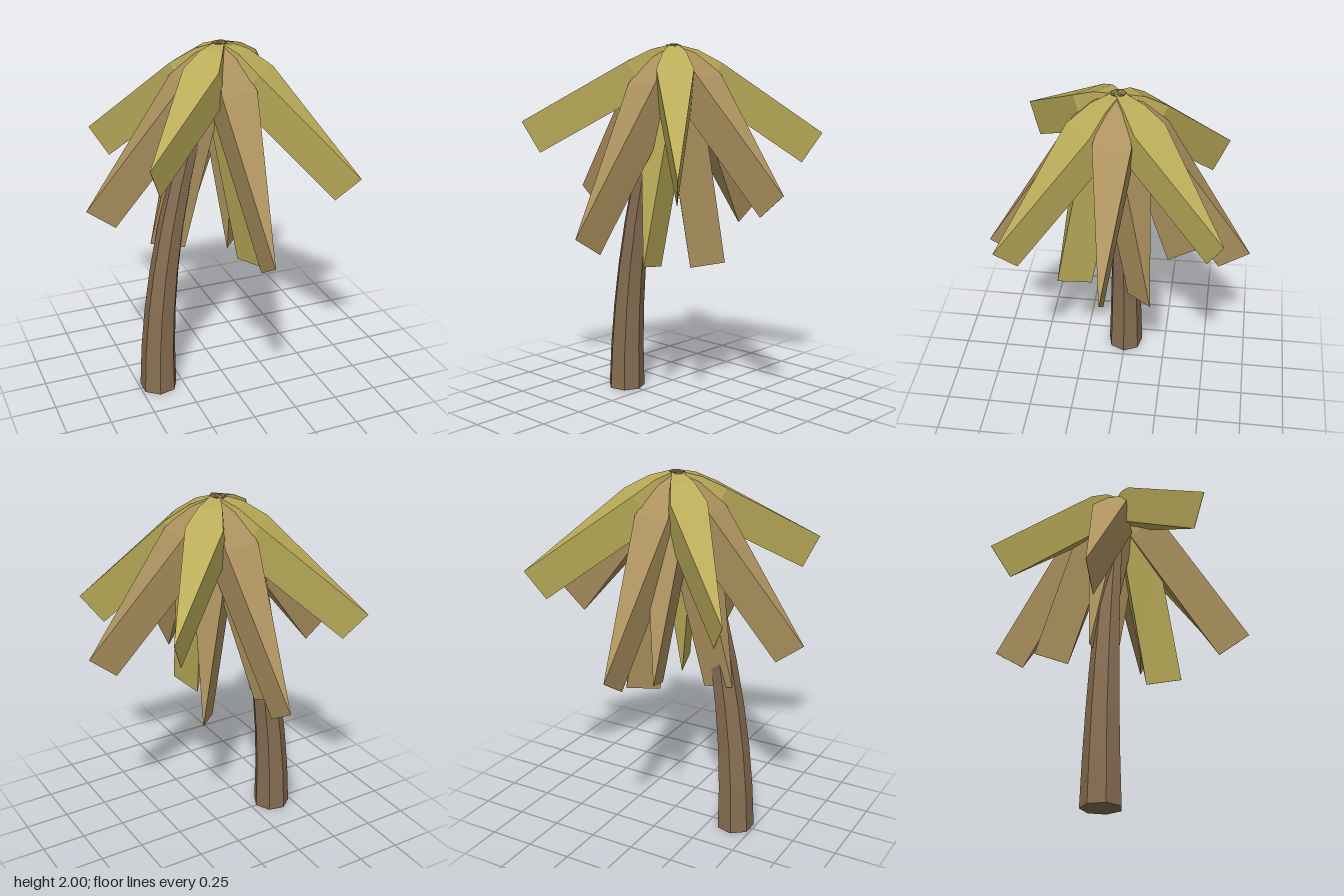
import * as THREE from 'three';

const flat = (name, color) => {
  const m = new THREE.MeshStandardMaterial({ color, flatShading: true });
  m.name = name;
  return m;
};

// Thick frond along +x: a box section swept down a bent spine, tapering to an edge
function frondGeometry(tipR, tipY, wideR, wideY) {
  const depth = 0.195;
  const spine = [
    [0, 2, 0.02],
    [wideR * 0.5, 2 - (2 - wideY) * 0.33, 0.062],
    [wideR, wideY, 0.097],
    [tipR, tipY, 0.001],
  ];
  const pos = [], idx = [];
  const last = spine.length - 1;
  spine.forEach(([r, y, w], i) => {
    const a = spine[Math.max(i - 1, 0)];
    const b = spine[Math.min(i + 1, last)];
    const len = Math.hypot(b[0] - a[0], b[1] - a[1]);
    const nr = (b[1] - a[1]) / len * depth, ny = -(b[0] - a[0]) / len * depth;
    pos.push(r, y, -w, r, y, w, r + nr, y + ny, w, r + nr, y + ny, -w);
  });
  for (let i = 0; i < last; i++) {
    for (let k = 0; k < 4; k++) {
      const a = i * 4 + k, b = i * 4 + (k + 1) % 4;
      idx.push(a, b, b + 4, a, b + 4, a + 4);
    }
  }
  const e = last * 4;
  idx.push(0, 3, 2, 0, 2, 1, e, e + 1, e + 2, e, e + 2, e + 3); // root and tip ends
  const g = new THREE.BufferGeometry();
  g.setAttribute('position', new THREE.Float32BufferAttribute(pos, 3));
  g.setIndex(idx);
  const out = g.toNonIndexed();
  out.computeVertexNormals();
  return out;
}

export function createModel() {
  const group = new THREE.Group();
  group.name = 'palmTree';
  const bark = flat('bark', 0x876e52);
  const olive = flat('oliveLeaf', 0xbaac59);
  const brown = flat('dryLeaf', 0xae935f);

  // Seven-sided trunk, bent toward the crown
  const trunkGeo = new THREE.CylinderGeometry(0.04, 0.107, 1.995, 7, 8, false, Math.PI / 2);
  trunkGeo.translate(0, 1.995 / 2, 0);
  const p = trunkGeo.attributes.position;
  for (let i = 0; i < p.count; i++) {
    const t = p.getY(i) / 2;
    p.setX(i, p.getX(i) - 0.39 + 0.385 * t * t);
  }
  trunkGeo.computeVertexNormals();
  const trunk = new THREE.Mesh(trunkGeo, bark);
  trunk.name = 'trunk';
  group.add(trunk);

  // Fronds: tip x, y, z, then the radius and height of the widest point
  const fronds = [
    // upper diagonal fronds
    ['upperFrond', olive, -0.587, 1.585, 0.58, 0.25, 1.91],
    ['upperFrond', olive, 0.55, 1.36, 0.556, 0.25, 1.87],
    ['upperFrond', olive, 0.57, 1.52, -0.576, 0.25, 1.9],
    ['upperFrond', olive, -0.575, 1.42, -0.57, 0.25, 1.88],
    // upper straight fronds
    ['upperFrond', brown, 0.752, 1.25, 0, 0.25, 1.84],
    ['upperFrond', brown, -0.757, 1.165, 0, 0.25, 1.82],
    ['upperFrond', brown, 0, 1.03, 0.72, 0.25, 1.79],
    ['upperFrond', brown, 0, 1.065, -0.72, 0.25, 1.8],
    // drooping inner fronds
    ['droopingFrond', brown, 0.2, 0.8, -0.2, 0.145, 1.71],
    ['droopingFrond', brown, -0.39, 0.88, -0.07, 0.215, 1.73],
    ['droopingFrond', brown, -0.125, 0.98, -0.45, 0.23, 1.74],
    ['droopingFrond', olive, 0.09, 0.84, 0.33, 0.195, 1.72],
  ];
  for (const [name, mat, x, y, z, wideR, wideY] of fronds) {
    const frond = new THREE.Mesh(frondGeometry(Math.hypot(x, z), y, wideR, wideY), mat);
    frond.name = name;
    frond.rotation.y = Math.atan2(-z, x);
    group.add(frond);
  }
  return group;
}
